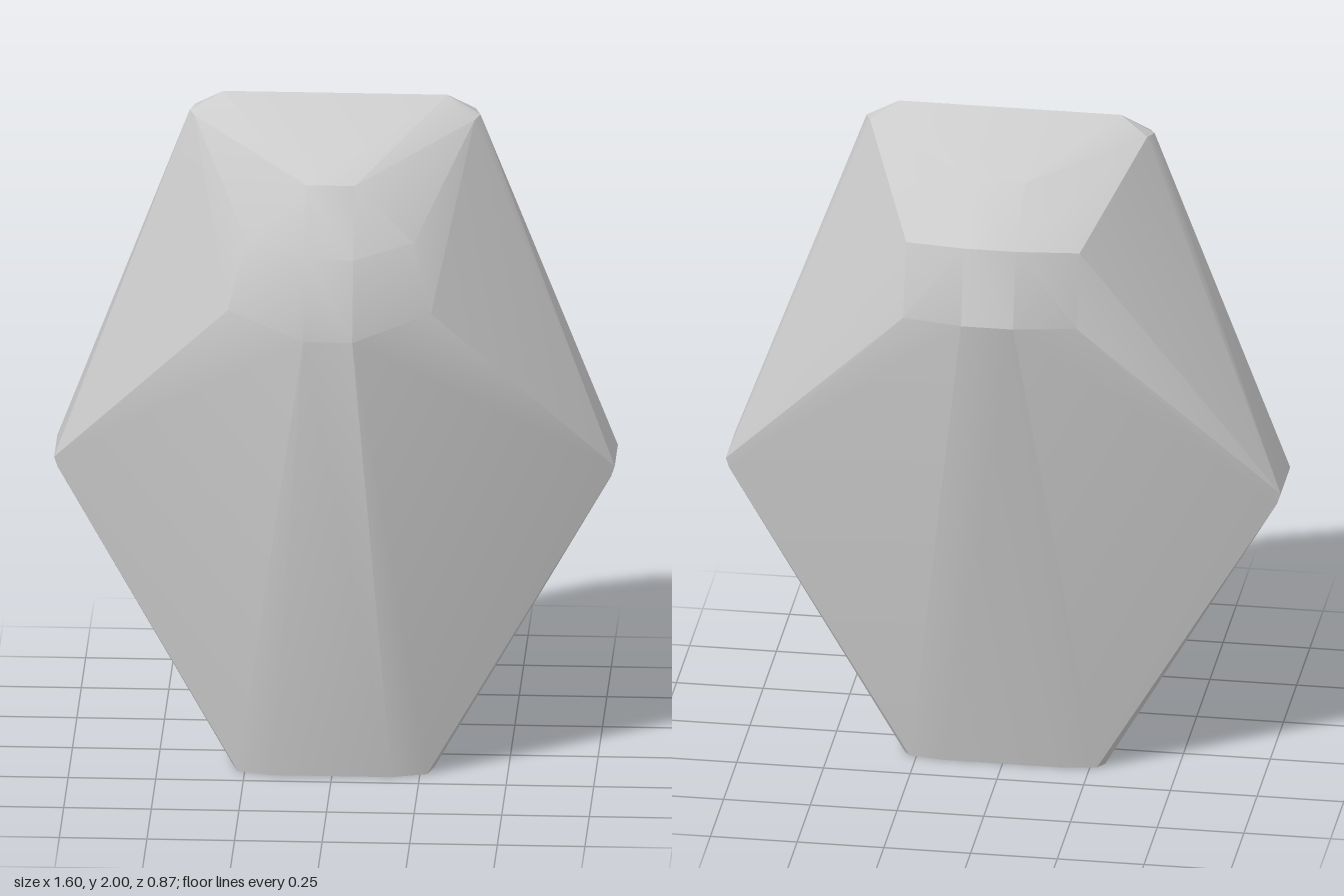
import * as THREE from 'three';
import { ConvexGeometry } from 'three/addons/geometries/ConvexGeometry.js';
import { toCreasedNormals } from 'three/addons/utils/BufferGeometryUtils.js';

// Corners of the left half; each is mirrored across x = 0.
const corners = [
  // narrow foot outline
  [0.17, 0, 0.2], [0.27, 0, 0.17], [0.29, 0, 0.1],
  [0.29, 0, -0.1], [0.27, 0, -0.13], [0.17, 0, -0.145],
  // blunt side tips
  [0.785, 0.94, 0.03], [0.785, 0.94, -0.12],
  [0.8, 0.9, 0.05], [0.8, 0.9, -0.13],
  [0.79, 0.87, 0.05], [0.79, 0.87, -0.13],
  // top ridge
  [0.32, 2, 0], [0.415, 1.945, 0.01], [0.4, 1.95, -0.03], [0.4, 1.94, 0.04],
  // front bulge
  [0.07, 1.4, 0.435], [0.29, 1.46, 0.345], [0.07, 1.63, 0.38],
  [0.24, 1.66, 0.305], [0.07, 1.82, 0.28],
  // back bulge
  [0.075, 1.51, -0.438], [0.25, 1.5, -0.385], [0.075, 1.73, -0.385],
  [0.25, 1.71, -0.325], [0.08, 1.88, -0.235],
];

export function createModel() {
  const group = new THREE.Group();
  group.name = 'facetedStone';

  const points = corners.flatMap(([x, y, z]) => [
    new THREE.Vector3(x, y, z),
    new THREE.Vector3(-x, y, z),
  ]);

  // Smooth the bulges, keep the large flat facets crisp
  const geometry = toCreasedNormals(new ConvexGeometry(points), THREE.MathUtils.degToRad(23));
  const stone = new THREE.Mesh(geometry, new THREE.MeshStandardMaterial({ color: 0xcccccc }));
  stone.name = 'stoneBody';
  group.add(stone);
  return group;
}
